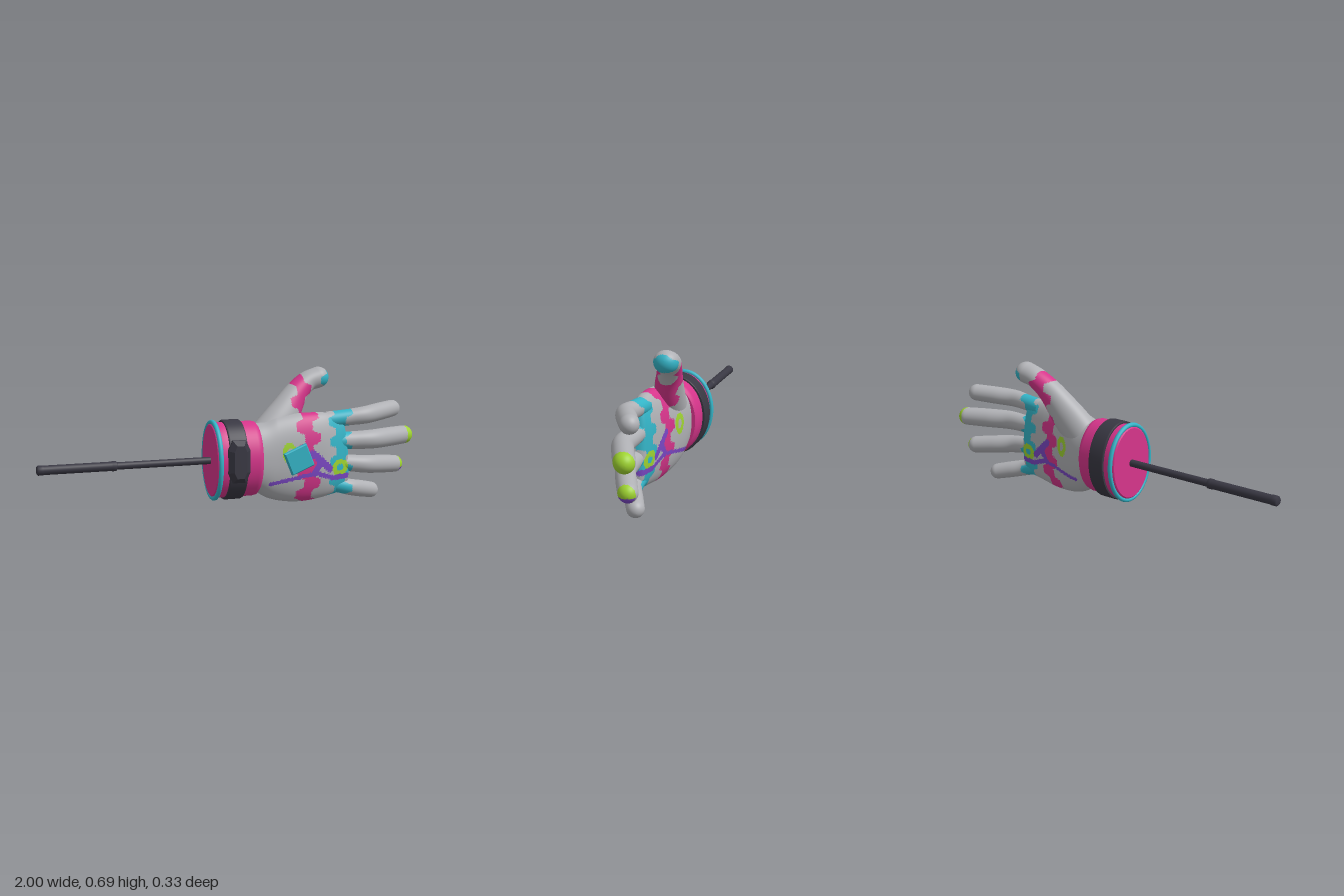
import * as THREE from 'three';

const mat = (name, color) => {
  const m = new THREE.MeshStandardMaterial({ color });
  m.name = name;
  return m;
};

export function createModel() {
  const grey = mat('grey', 0xb0b1b5), pink = mat('pink', 0xd6358b), teal = mat('teal', 0x34b4c7);
  const purple = mat('purple', 0x7b48c4), lime = mat('lime', 0x9fd431), dark = mat('charcoal', 0x393843);
  const paints = [grey, pink, teal, purple, lime];
  const model = new THREE.Group();
  const add = (name, geo, material, x = 0, y = 0, z = 0) => {
    const mesh = new THREE.Mesh(geo, material);
    mesh.name = name;
    mesh.position.set(x, y, z);
    model.add(mesh);
    return mesh;
  };

  // Painted pattern, a rule of x and y: returns an index into paints
  const strokes = [
    [0.14, 0.14, 0.38, 0.185, 0.01], [0.38, 0.185, 0.48, 0.15, 0.012], [0.48, 0.15, 0.6, 0.152, 0.014],
    [0.36, 0.285, 0.46, 0.2, 0.019], [0.41, 0.24, 0.37, 0.18, 0.016],
  ];
  const nearStroke = (x, y) => strokes.some(([ax, ay, bx, by, w]) => {
    const dx = bx - ax, dy = by - ay;
    const t = THREE.MathUtils.clamp(((x - ax) * dx + (y - ay) * dy) / (dx * dx + dy * dy), 0, 1);
    return Math.hypot(x - ax - t * dx, y - ay - t * dy) < w;
  });
  const inRing = (x, y, cx, cy, rx, ry) => {
    const d = Math.hypot((x - cx) / rx, (y - cy) / ry);
    return d < 1 && d > 0.42;
  };
  const wave = (y, period, phase) =>
    0.02 * THREE.MathUtils.clamp(2.2 * Math.sin((y / period + phase) * Math.PI * 2), -1, 1);
  const paintAt = (x, y) => {
    if (x > 0.955) return 4;
    if (x > 0.915 && y < 0.25) return y > 0.162 ? 4 : 3;
    if (nearStroke(x, y)) return 3;
    if (inRing(x, y, 0.235, 0.295, 0.037, 0.052) || inRing(x, y, 0.525, 0.2, 0.05, 0.042)) return 4;
    if (Math.abs(x - 0.342 - wave(y, 0.115, 0.1)) < 0.043) return 1;
    if (Math.abs(x - 0.53 - wave(y, 0.1, 0.4)) < 0.05) return 2;
    return 0;
  };

  // Loft with a rounded tip; each section is [x, y, z, radius in the xy plane, radius across]
  const limb = (name, sections, tip, steps, sides, power = 2) => {
    const curve = (pick) => new THREE.CatmullRomCurve3(sections.map(pick), false, 'catmullrom', 0.5);
    const path = curve((s) => new THREE.Vector3(s[0], s[1], s[2]));
    const size = curve((s) => new THREE.Vector3(s[3], s[4], 0));
    const caps = 12, pos = [], rings = steps + caps;
    for (let i = 0; i <= rings; i++) {
      const t = Math.min(i / steps, 1), a = Math.max(i - steps, 0) / caps * Math.PI / 2;
      const T = path.getTangent(t), r = size.getPoint(t).multiplyScalar(Math.max(Math.cos(a), 0.001));
      const U = new THREE.Vector3(0, 0, 1).cross(T).normalize(), W = T.clone().cross(U);
      const c = path.getPoint(t).addScaledVector(T, tip * Math.sin(a));
      for (let j = 0; j < sides; j++) {
        const b = j / sides * Math.PI * 2;
        const round = (v) => Math.sign(v) * Math.abs(v) ** (2 / power);
        const p = c.clone().addScaledVector(U, r.x * round(Math.cos(b))).addScaledVector(W, r.y * round(Math.sin(b)));
        pos.push(p.x, p.y, p.z);
      }
    }
    const buckets = paints.map(() => []);
    const face = (...v) => {
      const mid = (k) => (pos[v[0] * 3 + k] + pos[v[1] * 3 + k] + pos[v[2] * 3 + k]) / 3;
      buckets[paintAt(mid(0), mid(1))].push(...v);
    };
    for (let i = 0; i < rings; i++) {
      for (let j = 0; j < sides; j++) {
        const a = i * sides + j, b = i * sides + (j + 1) % sides;
        face(a, b, a + sides);
        face(b, b + sides, a + sides);
      }
    }
    const geo = new THREE.BufferGeometry();
    geo.setAttribute('position', new THREE.Float32BufferAttribute(pos, 3));
    geo.setIndex(buckets.flat());
    let start = 0;
    buckets.forEach((list, k) => {
      if (list.length) geo.addGroup(start, list.length, k);
      start += list.length;
    });
    geo.computeVertexNormals();
    add(name, geo, paints);
  };

  // Palm
  limb('palm', [
    [0.04, 0.265, -0.005, 0.165, 0.1], [0.1, 0.265, -0.008, 0.175, 0.102], [0.18, 0.26, -0.008, 0.21, 0.1],
    [0.3, 0.255, 0.006, 0.225, 0.088], [0.42, 0.262, 0.01, 0.22, 0.076], [0.5, 0.265, 0.003, 0.208, 0.06],
    [0.555, 0.27, 0, 0.195, 0.046],
  ], 0.03, 90, 140, 2.3);

  // Thumb
  limb('thumb', [
    [0.14, 0.34, -0.02, 0.1, 0.08], [0.24, 0.45, -0.045, 0.09, 0.072], [0.32, 0.555, -0.075, 0.066, 0.06],
    [0.395, 0.622, -0.1, 0.053, 0.056], [0.465, 0.646, -0.108, 0.054, 0.058],
  ], 0.055, 80, 64);

  // Fingers: base x, base y, tip x, tip y, tip z, radius
  const fingers = {
    indexFinger: [0.47, 0.438, 0.877, 0.471, -0.085, 0.045],
    middleFinger: [0.47, 0.328, 0.953, 0.327, -0.09, 0.049],
    ringFinger: [0.47, 0.225, 0.897, 0.175, -0.083, 0.046],
    littleFinger: [0.45, 0.12, 0.752, 0.048, -0.062, 0.042],
  };
  for (const [name, [x0, y0, x1, y1, z1, r]] of Object.entries(fingers)) {
    const bend = [[0, 0, 0.95], [0.28, 0.005, 0.93], [0.52, 0.003, 1], [0.76, z1 * 0.45, 1.02], [1, z1, 0.98]];
    limb(name, bend.map(([t, z, s]) => [x0 + (x1 - x0) * t, y0 + (y1 - y0) * t, z, r * s, r * s]), r, 64, 40);
  }

  // Oval cuff and strap, turned around the x axis; profile is [radius, x]
  const turned = (name, profile, depth, material) => {
    const geo = new THREE.LatheGeometry(profile.map(([r, x]) => new THREE.Vector2(r, x)), 64);
    geo.rotateZ(-Math.PI / 2).scale(1, 1, depth);
    return add(name, geo, material, 0, 0.265, 0);
  };
  turned('cuff', [
    [0, -0.15], [0.175, -0.15], [0.175, -0.15], [0.186, -0.142], [0.188, -0.1], [0.188, 0.06],
    [0.184, 0.077], [0.173, 0.086], [0.173, 0.086], [0, 0.086],
  ], 0.74, pink);
  turned('strap', [
    [0.18, -0.09], [0.195, -0.09], [0.195, -0.09], [0.199, -0.084], [0.199, -0.006], [0.195, 0], [0.195, 0], [0.18, 0],
  ], 0.765, dark);
  const rim = new THREE.TorusGeometry(0.189, 0.012, 12, 64).rotateY(Math.PI / 2).scale(1, 1, 0.77);
  add('cuffRim', rim, teal, -0.137, 0.265, 0);

  // Strap buckle: chamfered octagon
  const octagon = new THREE.Shape([
    [-0.032, -0.05], [-0.018, -0.08], [0.018, -0.08], [0.032, -0.05],
    [0.032, 0.05], [0.018, 0.08], [-0.018, 0.08], [-0.032, 0.05],
  ].map(([x, y]) => new THREE.Vector2(x, y)));
  const buckle = new THREE.ExtrudeGeometry(octagon, {
    depth: 0.015, bevelSize: 0.024, bevelThickness: 0.024, bevelSegments: 1,
  });
  add('buckle', buckle, dark, -0.045, 0.275, 0.126);

  // Tilted badge on the hand
  const square = new THREE.Shape([[-1, -1], [1, -1], [1, 1], [-1, 1]]
    .map(([x, y]) => new THREE.Vector2(x * 0.058, y * 0.054)));
  const badge = new THREE.ExtrudeGeometry(square, {
    depth: 0.016, bevelSize: 0.005, bevelThickness: 0.005, bevelSegments: 1,
  });
  add('badge', badge, teal, 0.277, 0.264, 0.103).rotation.z = 0.39;

  // Rod and grip
  const rod = new THREE.CylinderGeometry(0.018, 0.018, 0.5, 24).rotateZ(-Math.PI / 2);
  add('rod', rod, dark, -0.39, 0.265, 0);
  const grip = new THREE.LatheGeometry([
    [0, -1], [0.017, -1], [0.024, -0.993], [0.024, -0.972], [0.0225, -0.965], [0.0225, -0.645],
    [0.0245, -0.64], [0.0245, -0.622], [0.018, -0.617],
  ].map(([r, x]) => new THREE.Vector2(r, x)), 24).rotateZ(-Math.PI / 2);
  add('grip', grip, dark, 0, 0.265, 0);

  return model;
}
